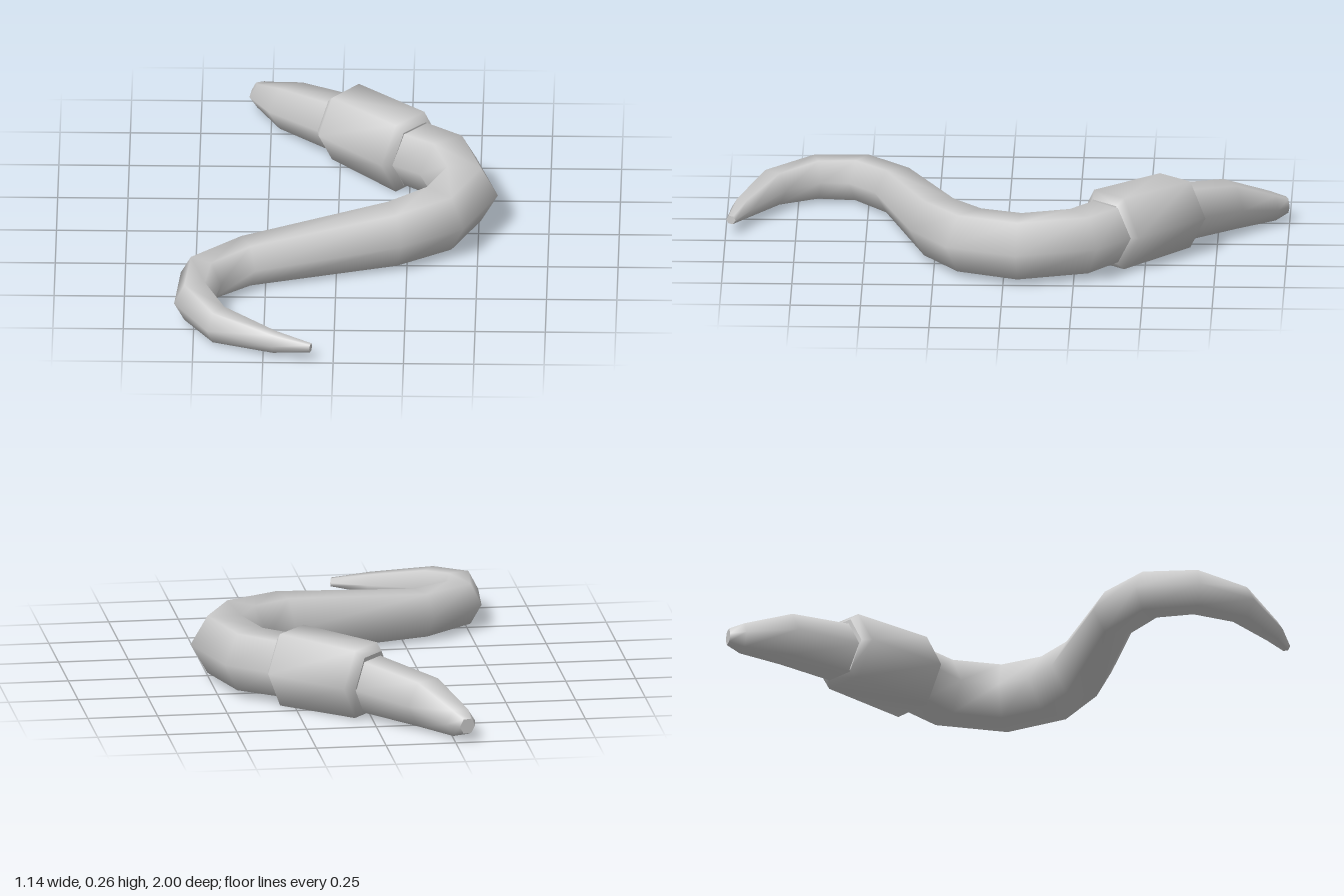
import * as THREE from 'three';

const SIDES = 6;

// Lofts six-sided rings with flat caps. Each section gives two opposite corners
// in plan, the height of the centre and half of the thickness: [ax, az, bx, bz, y, half]
function loft(sections, material, name) {
  const pos = [], index = [];
  const addRing = ([ax, az, bx, bz, y, half]) => {
    const start = pos.length / 3;
    for (let i = 0; i < SIDES; i++) {
      const t = (i / SIDES) * Math.PI * 2;
      const c = Math.cos(t) / 2;
      pos.push(
        (ax + bx) / 2 + (ax - bx) * c,
        y + (Math.sin(t) / Math.sin(Math.PI / 3)) * half,
        (az + bz) / 2 + (az - bz) * c
      );
    }
    return start;
  };

  // Skin
  const rings = sections.map(addRing);
  for (let r = 0; r < rings.length - 1; r++) {
    for (let i = 0; i < SIDES; i++) {
      const j = (i + 1) % SIDES;
      const a = rings[r] + i, b = rings[r] + j;
      const c = rings[r + 1] + i, d = rings[r + 1] + j;
      index.push(a, c, d, a, d, b);
    }
  }

  // Caps, with their own corners to keep the rims sharp
  const first = addRing(sections[0]);
  const last = addRing(sections[sections.length - 1]);
  for (let i = 1; i < SIDES - 1; i++) {
    index.push(first, first + i, first + i + 1);
    index.push(last, last + i + 1, last + i);
  }

  const geometry = new THREE.BufferGeometry();
  geometry.setAttribute('position', new THREE.Float32BufferAttribute(pos, 3));
  geometry.setIndex(index);
  geometry.computeVertexNormals();
  const mesh = new THREE.Mesh(geometry, material);
  mesh.name = name;
  return mesh;
}

export function createModel() {
  const skin = new THREE.MeshStandardMaterial({ color: 0xcccccc });
  skin.name = 'pale grey skin';

  const group = new THREE.Group();
  group.name = 'worm';

  // Body, from the tail tip to the head tip
  group.add(loft([
    [-0.075, 0.965, -0.085, 0.998, 0.054, 0.014],
    [-0.2, 0.905, -0.22, 0.982, 0.057, 0.034],
    [-0.37, 0.79, -0.45, 0.895, 0.072, 0.058],
    [-0.425, 0.67, -0.57, 0.71, 0.085, 0.07],
    [-0.405, 0.57, -0.55, 0.48, 0.09, 0.074],
    [-0.285, 0.475, -0.355, 0.315, 0.094, 0.078],
    [0.23, 0.34, 0.165, 0.13, 0.123, 0.101],
    [0.45, 0.205, 0.275, 0.04, 0.128, 0.104],
    [0.568, -0.045, 0.328, -0.07, 0.133, 0.105],
    [0.485, -0.335, 0.287, -0.2, 0.134, 0.104],
    [0.335, -0.46, 0.175, -0.28, 0.133, 0.101],
    [0.08, -0.68, -0.06, -0.525, 0.125, 0.094],
    [-0.1, -0.84, -0.26, -0.74, 0.097, 0.08],
    [-0.22, -0.962, -0.33, -0.92, 0.061, 0.046],
    [-0.265, -1.0, -0.322, -0.98, 0.06, 0.026],
  ], skin, 'body'));

  // Thick band with bevelled ends
  group.add(loft([
    [0.345, -0.44, 0.19, -0.27, 0.135, 0.105],
    [0.35, -0.48, 0.15, -0.262, 0.135, 0.132],
    [0.11, -0.71, -0.077, -0.49, 0.134, 0.123],
    [0.065, -0.695, -0.08, -0.53, 0.133, 0.098],
  ], skin, 'band'));

  return group;
}
